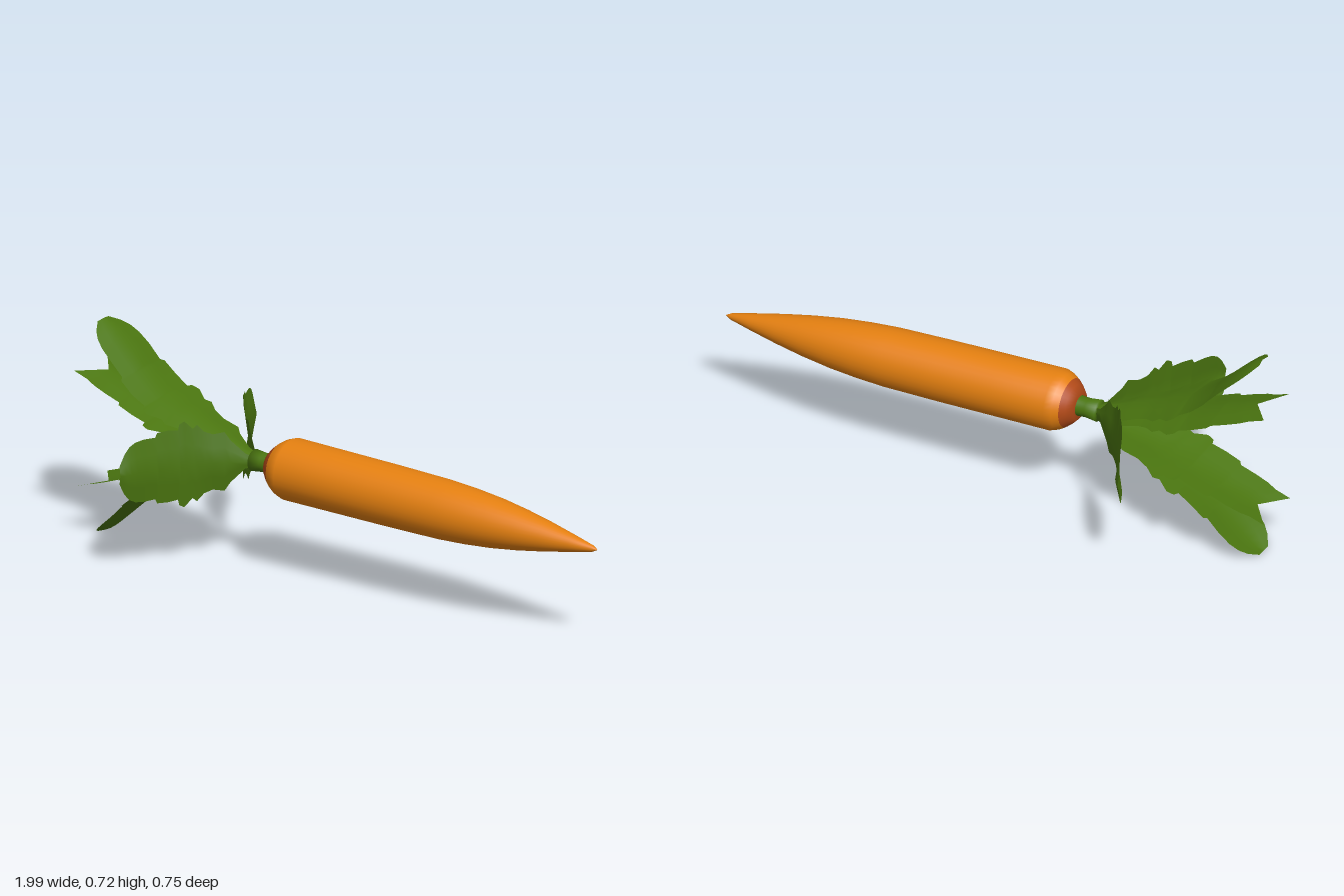
import * as THREE from 'three';

const AXIS_Y = 0.37;

const material = (name, color, side = THREE.FrontSide) => {
  const m = new THREE.MeshStandardMaterial({ color, side });
  m.name = name;
  return m;
};

// Round body along x from [x, radius] pairs, sagging towards the tip
function turned(name, profile, mat) {
  const g = new THREE.LatheGeometry(profile.map(([x, r]) => new THREE.Vector2(r, x)), 32);
  g.rotateZ(-Math.PI / 2);
  const p = g.attributes.position;
  for (let i = 0; i < p.count; i++) {
    const sag = 0.025 * Math.max(0, (p.getX(i) + 0.2) / 1.2);
    p.setY(i, p.getY(i) * 0.95 - sag);
  }
  g.computeBoundingSphere();
  const mesh = new THREE.Mesh(g, mat);
  mesh.name = name;
  mesh.position.y = AXIS_Y;
  return mesh;
}

// Serrated leaf outline: [fraction of length, half width]
const OUTLINE = [
  [0, 0.012], [0.08, 0.026], [0.18, 0.072], [0.22, 0.1], [0.3, 0.094], [0.36, 0.105],
  [0.41, 0.13], [0.44, 0.118], [0.5, 0.146], [0.535, 0.138], [0.545, 0.118], [0.62, 0.122],
  [0.7, 0.12], [0.715, 0.105], [0.8, 0.106], [0.87, 0.102], [0.92, 0.09], [0.96, 0.068], [1, 0.03],
];
const COLUMNS = [-1, -0.5, 0, 0.5, 1];

// Leaf sheet swept along a path of [x, distance from axis], with a raised midrib
function leafGeometry(path, forked) {
  const curve = new THREE.CatmullRomCurve3(path.map(([x, r]) => new THREE.Vector3(x, r, 0)));
  const pos = [], index = [];
  OUTLINE.forEach(([s, half], row) => {
    const w = forked && s > 0.9 ? 0.092 : half;
    for (const u of COLUMNS) {
      const inner = 1 - Math.abs(u);
      const at = forked ? s - 0.1 * inner * Math.max(0, (s - 0.8) / 0.2) : s;
      const p = curve.getPointAt(at), t = curve.getTangentAt(at);
      const lift = 0.016 * inner * Math.min(1, w / 0.08) - 0.006;
      pos.push(p.x + t.y * lift, p.y - t.x * lift, u * w);
    }
    if (row === 0) return;
    const n = COLUMNS.length;
    for (let c = 0; c < n - 1; c++) {
      const a = (row - 1) * n + c, b = a + n;
      index.push(a, a + 1, b, a + 1, b + 1, b);
    }
  });
  const g = new THREE.BufferGeometry();
  g.setAttribute('position', new THREE.Float32BufferAttribute(pos, 3));
  g.setIndex(index);
  g.computeVertexNormals();
  return g;
}

export function createModel() {
  const group = new THREE.Group();
  const orange = material('carrot orange', 0xe58010);
  const rust = material('crown rust', 0xb24a18);
  const green = material('leaf green', 0x4b7610, THREE.DoubleSide);

  // Root and its darker crown
  group.add(turned('root', [
    [-0.245, 0.085], [-0.225, 0.098], [-0.2, 0.107], [0, 0.106], [0.2, 0.105], [0.4, 0.102],
    [0.5, 0.096], [0.6, 0.086], [0.7, 0.071], [0.8, 0.052], [0.9, 0.03], [0.98, 0.011], [1, 0],
  ], orange));
  group.add(turned('crown', [[-0.28, 0], [-0.28, 0.05], [-0.262, 0.07], [-0.245, 0.085]], rust));

  // Short stem
  group.add(turned('stem', [
    [-0.35, 0], [-0.35, 0.038], [-0.31, 0.033], [-0.27, 0.036],
  ], green));

  // Leaves around the stem
  const tall = leafGeometry([[-0.33, 0.02], [-0.45, 0.05], [-0.605, 0.11], [-0.74, 0.18], [-0.845, 0.28], [-0.94, 0.362]], false);
  const low = leafGeometry([[-0.33, 0.012], [-0.45, 0.035], [-0.58, 0.065], [-0.685, 0.092], [-0.82, 0.143], [-0.99, 0.203]], true);
  const side = leafGeometry([[-0.33, 0.015], [-0.37, 0.035], [-0.475, 0.13], [-0.55, 0.24], [-0.61, 0.375]], false);
  const leaves = [
    ['upperLeaf', tall, 0], ['lowerLeaf', tall, Math.PI],
    ['innerUpperLeaf', low, 0], ['innerLowerLeaf', low, Math.PI],
    ['frontLeaf', side, Math.PI / 2], ['backLeaf', side, -Math.PI / 2],
  ];
  for (const [name, geometry, angle] of leaves) {
    const leaf = new THREE.Mesh(geometry, green);
    leaf.name = name;
    leaf.position.y = AXIS_Y;
    leaf.rotation.x = angle;
    group.add(leaf);
  }
  return group;
}
